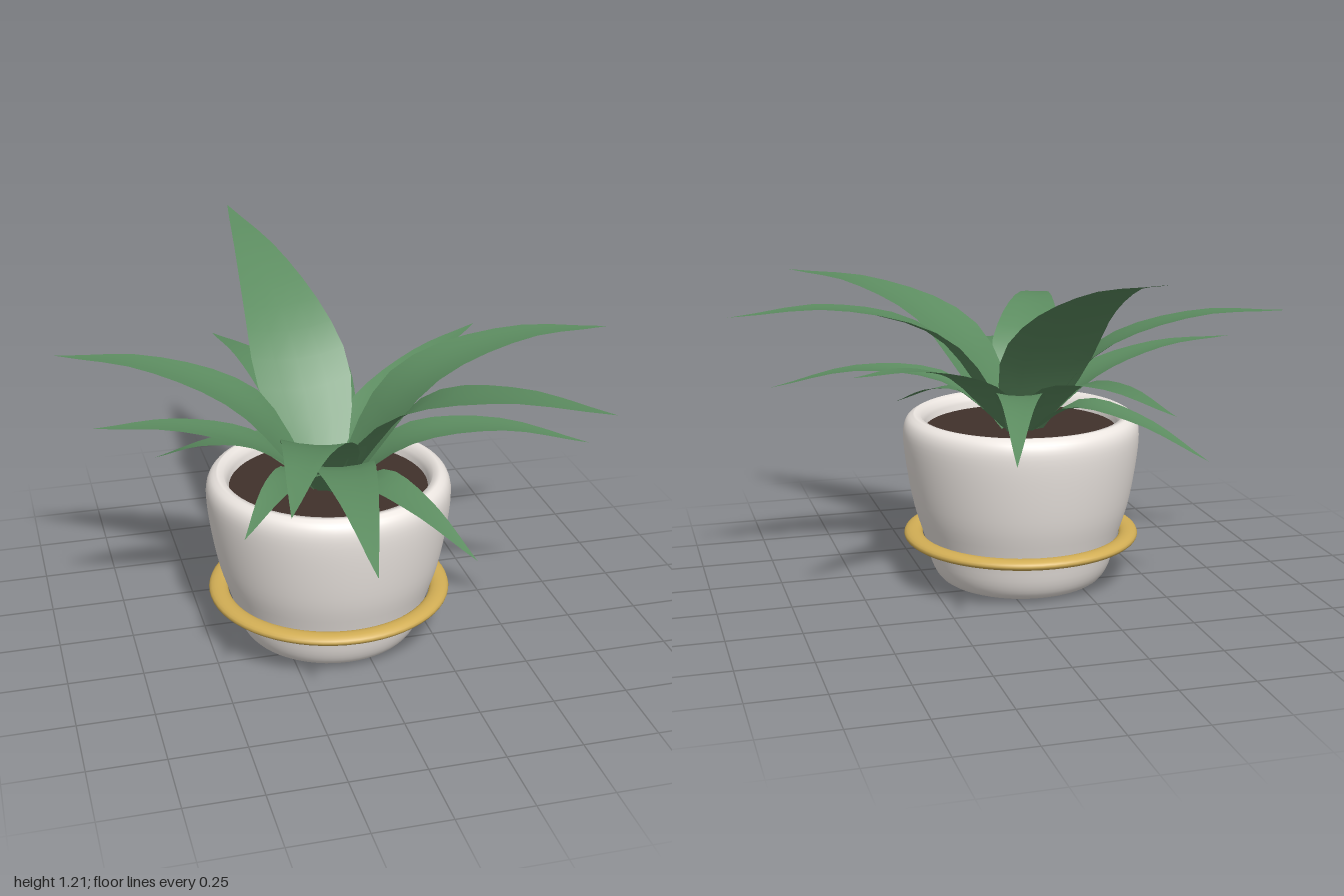
import * as THREE from 'three';

const CX = -0.08, CZ = 0.1; // pot axis

// [tip x, tip z, height at 30 %, height at 65 %, tip height, half width]
const LEAVES = [
  // large upper leaves
  [-0.19, -1.0, 0.91, 1.12, 1.21, 0.17],
  [0.92, 0.04, 0.88, 1.0, 0.99, 0.135],
  [0.61, 0.83, 0.87, 1.0, 1.02, 0.145],
  [-0.4, 0.95, 0.8, 0.91, 0.87, 0.125],
  [-0.93, -0.21, 0.82, 0.95, 0.97, 0.13],
  // middle leaves
  [-0.85, 0.1, 0.71, 0.81, 0.83, 0.1],
  [-0.16, 0.99, 0.73, 0.755, 0.67, 0.105],
  [0.76, 0.31, 0.71, 0.755, 0.69, 0.095],
  [0.6, -0.42, 0.73, 0.84, 0.87, 0.1],
  [-0.3, -0.8, 0.73, 0.8, 0.78, 0.09],
  [0.17, -0.73, 0.71, 0.745, 0.64, 0.085],
  // short drooping leaves
  [-0.6, -0.35, 0.64, 0.61, 0.5, 0.08],
  [0.24, 0.7, 0.63, 0.61, 0.52, 0.08],
  [-0.46, 0.57, 0.66, 0.69, 0.62, 0.08],
];

function material(color, side = THREE.FrontSide) {
  const m = new THREE.MeshStandardMaterial({ side });
  m.color.set(color);
  return m;
}

// Width of a leaf along its length: narrow foot, widest at 30 %, pointed tip
function leafWidth(t) {
  return t < 0.3
    ? 0.4 + 0.6 * Math.sin((Math.PI / 2) * (t / 0.3))
    : 1 - Math.pow((t - 0.3) / 0.7, 1.25);
}

// A thin blade bent along an arching midrib and slightly cupped
function leafGeometry([tx, tz, y1, y2, y3, half]) {
  const dx = tx - CX, dz = tz - CZ, len = Math.hypot(dx, dz);
  const fx = dx / len, fz = dz / len;
  const rib = new THREE.CatmullRomCurve3([
    new THREE.Vector3(0.04, 0.53, 0),
    new THREE.Vector3(0.3 * len, y1, 0),
    new THREE.Vector3(0.65 * len, y2, 0),
    new THREE.Vector3(len, y3, 0),
  ]);
  const geo = new THREE.PlaneGeometry(2, 1, 4, 12);
  const pos = geo.attributes.position;
  for (let i = 0; i < pos.count; i++) {
    const s = pos.getX(i), t = pos.getY(i) + 0.5;
    const p = rib.getPointAt(t);
    const w = half * leafWidth(t);
    const cup = 0.22 * (1 - t) * w * s * s;
    pos.setXYZ(i, CX + fx * p.x - fz * w * s, p.y + cup, CZ + fz * p.x + fx * w * s);
  }
  geo.computeVertexNormals();
  return geo;
}

export function createModel() {
  const model = new THREE.Group();
  const add = (name, geo, mat, y = 0) => {
    const mesh = new THREE.Mesh(geo, mat);
    mesh.name = name;
    mesh.position.set(CX, y, CZ);
    model.add(mesh);
    return mesh;
  };

  // Pot: rounded foot, bellied wall, rolled rim with an inner step
  const outer = new THREE.SplineCurve([
    [0.24, 0], [0.285, 0.02], [0.315, 0.07], [0.338, 0.16], [0.375, 0.28],
    [0.4, 0.42], [0.41, 0.53], [0.398, 0.58], [0.37, 0.6],
  ].map(([x, y]) => new THREE.Vector2(x, y))).getPoints(32);
  const inner = [[0.35, 0.595], [0.342, 0.575], [0.335, 0.565], [0.33, 0.52]]
    .map(([x, y]) => new THREE.Vector2(x, y));
  const profile = [new THREE.Vector2(0, 0), ...outer, ...inner];
  add('pot', new THREE.LatheGeometry(profile, 64), material(0xece6e1, THREE.DoubleSide));

  // Soil disc
  const soil = new THREE.CircleGeometry(0.333, 48).rotateX(-Math.PI / 2);
  add('soil', soil, material(0x40312b), 0.545);

  // Flattened metal ring around the pot
  const ring = new THREE.TorusGeometry(0.378, 0.033, 16, 64).rotateX(Math.PI / 2).scale(1, 0.55, 1);
  add('ring', ring, material(0xd2ae55), 0.17);

  // Rosette of leaves
  const leaves = new THREE.Group();
  leaves.name = 'leaves';
  const green = material(0x5c8c60, THREE.DoubleSide);
  for (const row of LEAVES) {
    const leaf = new THREE.Mesh(leafGeometry(row), green);
    leaf.name = 'leaf';
    leaves.add(leaf);
  }
  model.add(leaves);
  return model;
}
